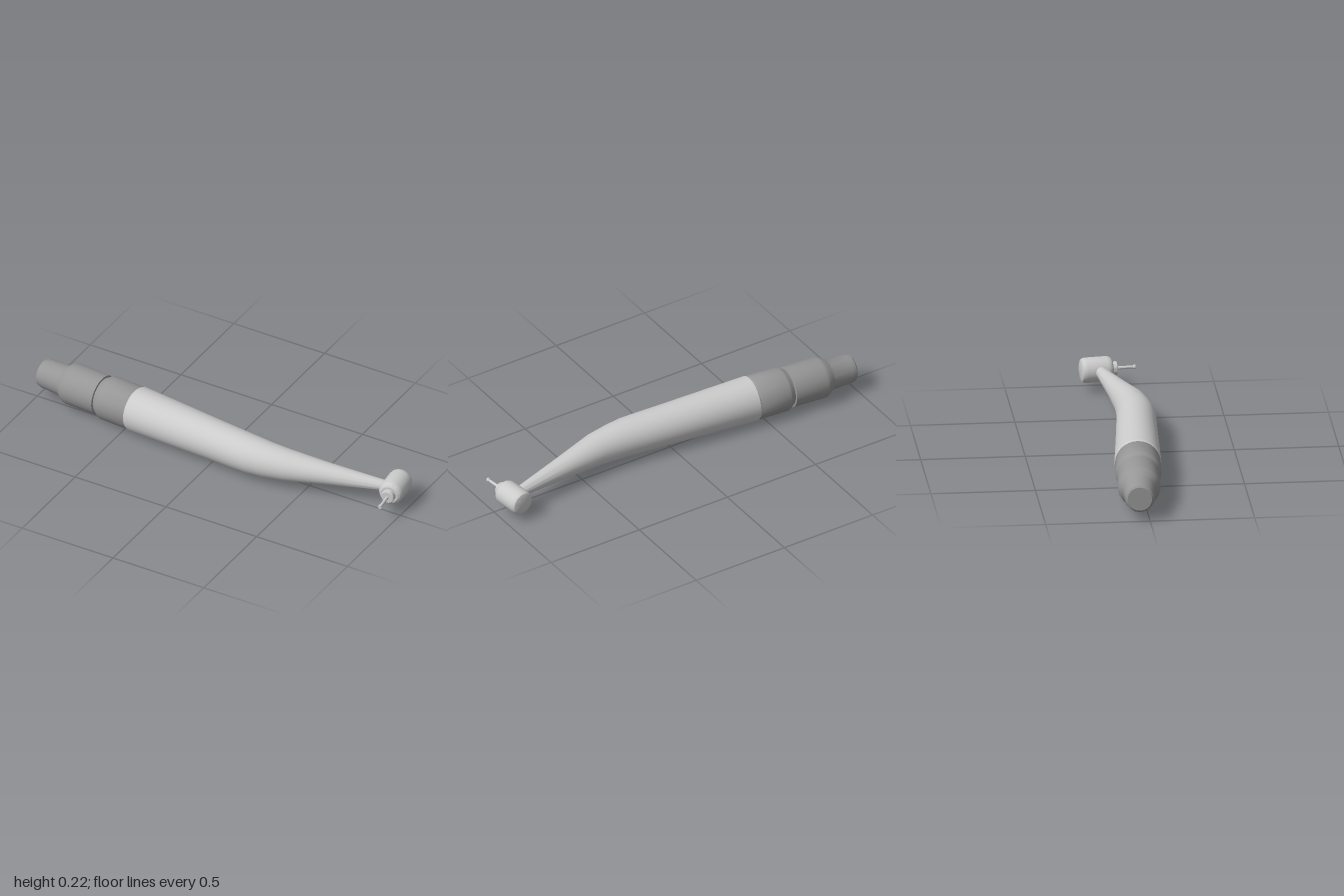
import * as THREE from 'three';
import { toCreasedNormals } from 'three/addons/utils/BufferGeometryUtils.js';

const SIDES = 32;
const metal = new THREE.MeshStandardMaterial({ color: 0xcccccc });
const darkMetal = new THREE.MeshStandardMaterial({ color: 0x969696 });

// Turned part from [radius, height] pairs, standing on the y axis
function turned(profile, sides = SIDES) {
  const geo = new THREE.LatheGeometry(profile.map(([r, h]) => new THREE.Vector2(r, h)), sides);
  return toCreasedNormals(geo, 0.5);
}

function addMesh(parent, name, geo, material) {
  const mesh = new THREE.Mesh(geo, material);
  mesh.name = name;
  parent.add(mesh);
  return mesh;
}

// Bent, tapering handle: a lathe whose rings are moved onto a curved centre line
function handleGeometry() {
  // x, y, z of the ring centre, and its radius
  const rings = [
    [-0.46, 0.113, -0.006, 0.106], [-0.45, 0.113, -0.005, 0.112], [0, 0.112, 0.034, 0.099],
    [0.15, 0.111, 0.047, 0.096], [0.22, 0.111, 0.052, 0.094], [0.3, 0.11, 0.051, 0.088],
    [0.4, 0.11, 0.043, 0.079], [0.6, 0.108, 0.006, 0.055], [0.87, 0.105, -0.047, 0.028],
    [0.92, 0.104, -0.056, 0.025],
  ];
  const last = rings.length - 1;
  const geo = new THREE.LatheGeometry(rings.map((r, i) => new THREE.Vector2(r[3], i)), SIDES);
  const pos = geo.attributes.position;
  for (let k = 0; k < pos.count; k++) {
    const i = Math.round(pos.getY(k));
    const [x, y, z] = rings[i];
    const a = rings[Math.max(i - 1, 0)], b = rings[Math.min(i + 1, last)];
    const turn = Math.atan2(b[2] - a[2], b[0] - a[0]);
    const up = -pos.getX(k), side = pos.getZ(k);
    pos.setXYZ(k, x - side * Math.sin(turn), y + up, z + side * Math.cos(turn));
  }
  // Lathe x became -y, so the winding stays outward
  return toCreasedNormals(geo, 0.5);
}

export function createModel() {
  const model = new THREE.Group();
  model.name = 'dentalHandpiece';

  addMesh(model, 'handle', handleGeometry(), metal);

  // Rear coupling, in line with the back of the handle
  const coupling = new THREE.Group();
  coupling.name = 'coupling';
  coupling.position.set(-0.46, 0.113, -0.006);
  coupling.rotation.set(0, -0.08, -Math.PI / 2, 'YXZ');
  model.add(coupling);
  addMesh(coupling, 'hoseConnector', turned([
    [0, -0.54], [0.058, -0.54], [0.067, -0.533], [0.073, -0.51], [0.076, -0.41],
    [0.08, -0.402], [0.099, -0.375], [0.102, -0.36], [0.1, -0.19], [0.09, -0.187], [0, -0.187],
  ]), darkMetal);
  addMesh(coupling, 'swivelRing', turned([
    [0, -0.195], [0.09, -0.195], [0.092, -0.183], [0.107, -0.163],
    [0.109, -0.155], [0.109, -0.008], [0.105, 0.002], [0, 0.002],
  ]), darkMetal);

  // Turbine head with the bur pointing forward
  const head = new THREE.Group();
  head.name = 'head';
  head.position.set(0.934, 0.103, -0.068);
  head.rotation.set(Math.PI / 2, 0.12, 0, 'YXZ');
  model.add(head);
  addMesh(head, 'headBarrel', turned([
    [0, -0.077], [0.044, -0.077], [0.054, -0.073], [0.059, -0.064], [0.061, -0.05],
    [0.061, 0.048], [0.059, 0.06], [0.053, 0.07], [0.043, 0.076], [0, 0.077],
  ]), metal);
  addMesh(head, 'chuckCollar', turned([
    [0.033, 0.07], [0.033, 0.097], [0.029, 0.1], [0, 0.1],
  ]), metal);
  addMesh(head, 'bur', turned([
    [0.008, 0.09], [0.007, 0.178], [0.01, 0.181], [0.01, 0.19], [0, 0.19],
  ], 16), metal);

  return model;
}
